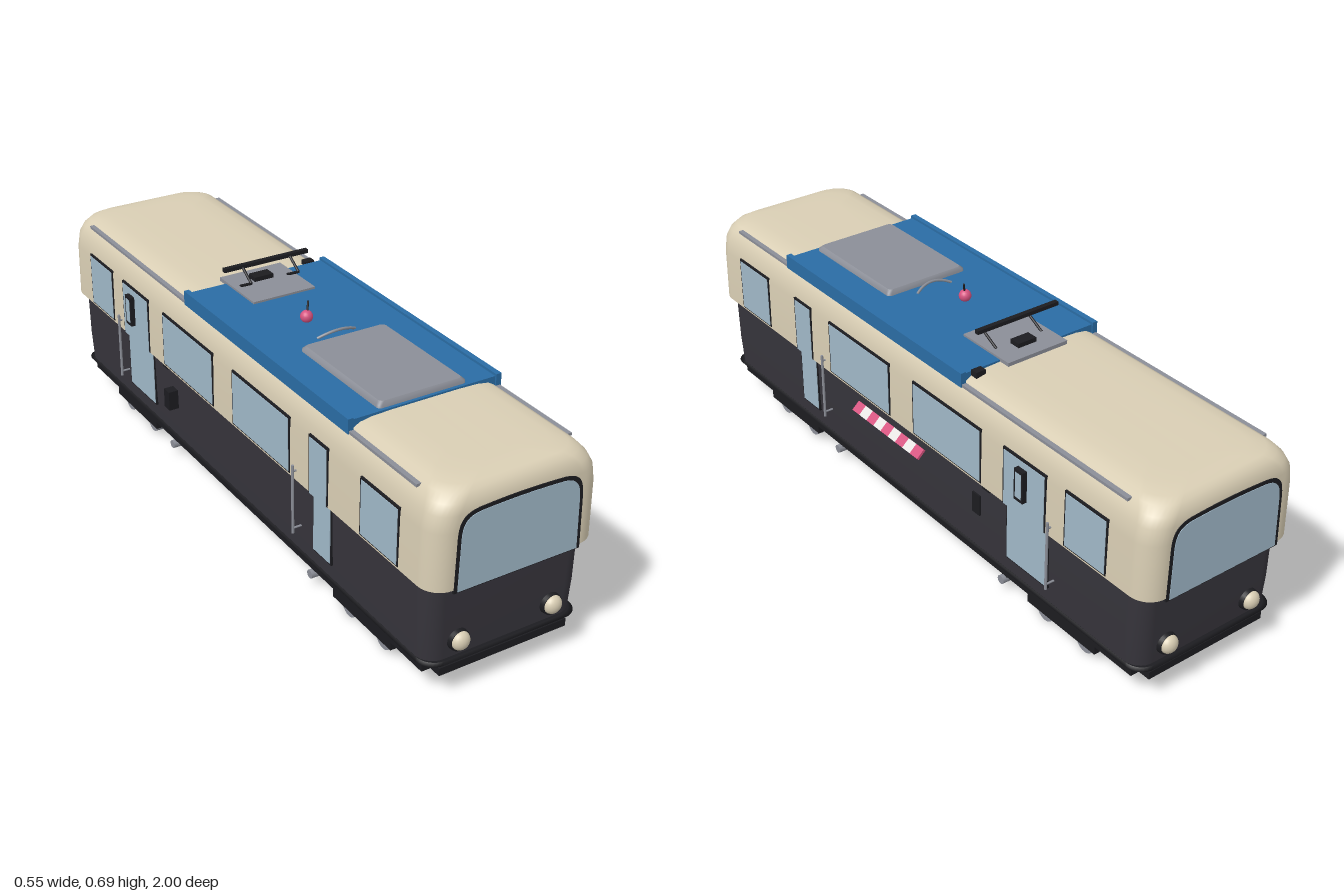
import * as THREE from 'three';

const mat = (name, color) => {
  const m = new THREE.MeshStandardMaterial({ color });
  m.name = name;
  return m;
};

export function createModel() {
  const root = new THREE.Group();
  root.name = 'tram';
  const cream = mat('cream', 0xd9ceb4), dark = mat('charcoal', 0x36343b), black = mat('black', 0x1c1c20),
    blue = mat('roofBlue', 0x2a6ca4), glass = mat('glass', 0xa0b8c8), grey = mat('grey', 0x8b8e97),
    pink = mat('pink', 0xd6527f), white = mat('white', 0xe6e4e2);

  const add = (name, geo, m, x = 0, y = 0, z = 0, parent = root) => {
    const mesh = new THREE.Mesh(geo, m);
    mesh.name = name;
    mesh.position.set(x, y, z);
    parent.add(mesh);
    return mesh;
  };
  // box given by its limits on each axis
  const box = (name, m, [x0, x1], [y0, y1], [z0, z1], parent) =>
    add(name, new THREE.BoxGeometry(x1 - x0, y1 - y0, z1 - z0), m, (x0 + x1) / 2, (y0 + y1) / 2, (z0 + z1) / 2, parent);
  // round bar between two points
  const rod = (name, m, a, b, r, parent) => {
    const p = new THREE.Vector3(...a), q = new THREE.Vector3(...b), d = q.clone().sub(p);
    const mesh = add(name, new THREE.CylinderGeometry(r, r, d.length(), 10), m, 0, 0, 0, parent);
    mesh.position.copy(p).add(q).multiplyScalar(0.5);
    mesh.quaternion.setFromUnitVectors(new THREE.Vector3(0, 1, 0), d.normalize());
    return mesh;
  };

  // stack of rounded rectangles: [y, half width, half length, corner radius]
  function loft(sections, smoothTop) {
    const steps = 8, n = 4 * (steps + 1), pos = [], idx = [];
    const ring = ([y, w, l, r]) => {
      for (let q = 0; q < 4; q++) for (let s = 0; s <= steps; s++) {
        const a = (q + s / steps) * Math.PI / 2;
        const sx = q === 0 || q === 3 ? 1 : -1, sz = q < 2 ? 1 : -1;
        pos.push(sx * (w - r) + r * Math.cos(a), y, sz * (l - r) + r * Math.sin(a));
      }
    };
    sections.forEach(ring);
    for (let k = 0; k < sections.length - 1; k++) for (let i = 0; i < n; i++) {
      const a = k * n + i, b = k * n + (i + 1) % n, c = a + n, d = b + n;
      idx.push(a, c, b, b, c, d);
    }
    const cap = (section, up, shared) => {
      let base = (sections.length - 1) * n;
      if (!shared) { base = pos.length / 3; ring(section); }
      const centre = pos.length / 3;
      pos.push(0, section[0], 0);
      for (let i = 0; i < n; i++) {
        const a = base + i, b = base + (i + 1) % n;
        idx.push(centre, up ? b : a, up ? a : b);
      }
    };
    cap(sections[0], false, false);
    cap(sections[sections.length - 1], true, smoothTop);
    const g = new THREE.BufferGeometry();
    g.setAttribute('position', new THREE.Float32BufferAttribute(pos, 3));
    g.setIndex(idx);
    g.computeVertexNormals();
    return g;
  }

  // body shells
  add('upperBody', loft([[0.34, 0.25, 0.997, 0.06], [0.5, 0.248, 0.997, 0.06], [0.545, 0.24, 0.997, 0.06],
    [0.571, 0.228, 0.992, 0.065], [0.59, 0.212, 0.98, 0.07], [0.6, 0.195, 0.964, 0.075],
    [0.606, 0.16, 0.935, 0.08], [0.608, 0.1, 0.89, 0.08]], true), cream);
  add('lowerBody', loft([[0.1, 0.229, 0.96, 0.05], [0.2, 0.234, 0.964, 0.05], [0.341, 0.236, 0.965, 0.05]], false), dark);
  add('skirtLip', loft([[0.09, 0.224, 0.96, 0.05], [0.106, 0.237, 0.976, 0.05], [0.112, 0.23, 0.968, 0.05]], false), black);
  box('underframe', black, [-0.22, 0.22], [0.07, 0.095], [-0.93, 0.93]);

  // end window outline, grown by e
  const endWindow = (e) => {
    const s = new THREE.Shape();
    s.moveTo(-0.178 - e, 0.333 - e * 0.3);
    s.lineTo(0.178 + e, 0.333 - e * 0.3);
    s.lineTo(0.174 + e, 0.48);
    s.bezierCurveTo(0.172 + e, 0.525 + e, 0.155 + e, 0.54 + e, 0.11, 0.541 + e);
    s.quadraticCurveTo(0, 0.547 + e, -0.11, 0.541 + e);
    s.bezierCurveTo(-0.155 - e, 0.54 + e, -0.172 - e, 0.525 + e, -0.174 - e, 0.48);
    return new THREE.ExtrudeGeometry(s, { depth: 0.006, bevelEnabled: false, curveSegments: 10 });
  };

  // both ends: window, lamps, bumper
  for (const end of [0, 1]) {
    const g = new THREE.Group();
    g.name = end ? 'rearEnd' : 'frontEnd';
    g.rotation.y = end * Math.PI;
    root.add(g);
    add('endWindowFrame', endWindow(0.01), black, 0, 0, 0.9925, g);
    add('endWindow', endWindow(0), glass, 0, 0, 0.994, g);
    for (const x of [-0.141, 0.141]) {
      const ring = add('lampRing', new THREE.CylinderGeometry(0.029, 0.031, 0.016, 24), black, x, 0.161, 0.967, g);
      ring.rotation.x = Math.PI / 2;
      const lamp = add('headlamp', new THREE.SphereGeometry(0.026, 20, 14), cream, x, 0.163, 0.974, g);
      lamp.scale.z = 0.8;
    }
    box('bumper', black, [-0.195, 0.195], [0.072, 0.094], [0.93, 0.968], g);
  }

  // bogies with wheels
  for (const s of [-1, 1]) {
    const g = new THREE.Group();
    g.name = s > 0 ? 'frontBogie' : 'rearBogie';
    g.position.z = s * 0.65;
    root.add(g);
    box('bogieFrame', dark, [-0.188, 0.188], [0.038, 0.072], [-0.125, 0.125], g);
    for (const x of [-1, 1]) {
      box('sideBeam', black, [x * 0.203 - 0.009, x * 0.203 + 0.009], [0.035, 0.06], [-0.135, 0.135], g);
      for (const z of [-0.08, 0.08])
        add('wheel', new THREE.CylinderGeometry(0.033, 0.033, 0.024, 24), grey, x * 0.185, 0.033, z, g).rotation.z = Math.PI / 2;
    }
    rod('crossBar', grey, [-0.215, 0.038, s * 0.402], [0.215, 0.038, s * 0.402], 0.013);
    for (const x of [-0.195, 0.195]) box('crossBarHanger', black, [x - 0.008, x + 0.008], [0.035, 0.075], [s * 0.402 - 0.01, s * 0.402 + 0.01]);
  }
  box('equipmentBox', grey, [0, 0.13], [0.053, 0.075], [-0.055, 0.195]);

  // both sides: windows, doors, rails, mirrors
  for (const s of [-1, 1]) {
    const g = new THREE.Group();
    g.name = s > 0 ? 'leftSide' : 'rightSide';
    root.add(g);
    const plate = (name, m, x, y, z) => box(name, m, [s * x - 0.004, s * x + 0.004], y, z, g);
    const pane = (name, z0, z1) => {
      plate(name + 'Frame', black, 0.2475, [0.346, 0.512], [z0 - 0.005, z1 + 0.005]);
      plate(name, glass, 0.249, [0.35, 0.506], [z0, z1]);
    };
    for (const [z0, z1] of [[0.697, 0.853], [0.06, 0.354], [-0.354, -0.06], [-0.847, -0.7]]) pane('sideWindow', z0, z1);
    for (const [z0, z1] of [[0.46, 0.54], [-0.618, -0.457]]) {
      plate('doorFrameUpper', black, 0.2475, [0.34, 0.512], [z0 - 0.005, z1 + 0.005]);
      plate('doorUpper', glass, 0.249, [0.34, 0.506], [z0, z1]);
      plate('doorFrameLower', black, 0.234, [0.158, 0.34], [z0 - 0.005, z1 + 0.005]);
      plate('doorLower', glass, 0.236, [0.163, 0.34], [z0, z1]);
    }
    for (const z of [0.39, -0.643]) {
      rod('handrail', grey, [s * 0.26, 0.18, z], [s * 0.26, 0.388, z], 0.004, g);
      for (const y of [0.195, 0.37]) rod('railBracket', grey, [s * 0.23, y, z], [s * 0.26, y, z], 0.003, g);
    }
    box('mirror', black, [s * 0.267 - 0.007, s * 0.267 + 0.007], [0.402, 0.495], [-0.56, -0.525], g);
    plate('mirrorGlass', glass, 0.271, [0.412, 0.486], [-0.554, -0.531]);
    rod('mirrorArm', black, [s * 0.245, 0.475, -0.542], [s * 0.267, 0.48, -0.542], 0.004, g);
    box('gutter', grey, [s * 0.222 - 0.007, s * 0.222 + 0.007], [0.579, 0.587], [-0.89, 0.89], g);
    box('sideHandle', black, [s * 0.237 - 0.006, s * 0.237 + 0.006], [0.325, 0.342], [-0.385, -0.355], g);
    box('roofRail', blue, [s * 0.224 - 0.008, s * 0.224 + 0.008], [0.578, 0.62], [-0.25, 0.605], g);
  }
  box('leftHatch', black, [0.23, 0.24], [0.225, 0.288], [-0.34, -0.308]);
  box('rightControlBox', black, [-0.265, -0.23], [0.215, 0.275], [-0.34, -0.308]);

  // striped barrier bar on the left side
  const bar = new THREE.Group();
  bar.name = 'stripedBar';
  bar.position.set(0.25, 0.292, 0.07);
  bar.rotation.z = -0.75;
  root.add(bar);
  const stripes = 9, step = 0.32 / stripes;
  for (let i = 0; i < stripes; i++)
    box('stripe', i % 2 ? white : pink, [-0.016, 0.016], [-0.004, 0.004], [-0.16 + i * step, -0.16 + (i + 1) * step], bar);

  // roof panel and equipment
  box('roofPanel', blue, [-0.222, 0.222], [0.58, 0.613], [-0.245, 0.6]);
  add('airUnit', loft([[0.605, 0.135, 0.187, 0.012], [0.62, 0.133, 0.185, 0.012], [0.628, 0.124, 0.178, 0.012]], false), grey, 0, 0, 0.405);
  const arc = new THREE.QuadraticBezierCurve3(new THREE.Vector3(-0.06, 0.613, 0.185), new THREE.Vector3(0, 0.646, 0.21), new THREE.Vector3(0.06, 0.613, 0.185));
  add('roofFin', new THREE.TubeGeometry(arc, 12, 0.004, 6), grey);
  add('beacon', new THREE.SphereGeometry(0.018, 18, 12), pink, -0.028, 0.626, 0.078);
  rod('antenna', black, [-0.026, 0.638, 0.078], [-0.018, 0.667, 0.07], 0.003);

  // current collector
  box('collectorBase', grey, [-0.1, 0.1], [0.6, 0.619], [-0.28, -0.085]);
  box('collectorMotor', black, [-0.03, 0.03], [0.615, 0.632], [-0.235, -0.2]);
  for (const x of [-0.077, 0.077]) {
    rod('lowerArm', black, [x, 0.618, -0.2], [x, 0.65, -0.138], 0.004);
    rod('upperArm', black, [x, 0.65, -0.138], [x, 0.683, -0.19], 0.004);
  }
  box('contactBar', black, [-0.136, 0.136], [0.678, 0.689], [-0.197, -0.183]);
  box('roofSocket', black, [0.165, 0.195], [0.6, 0.618], [-0.268, -0.245]);

  return root;
}
